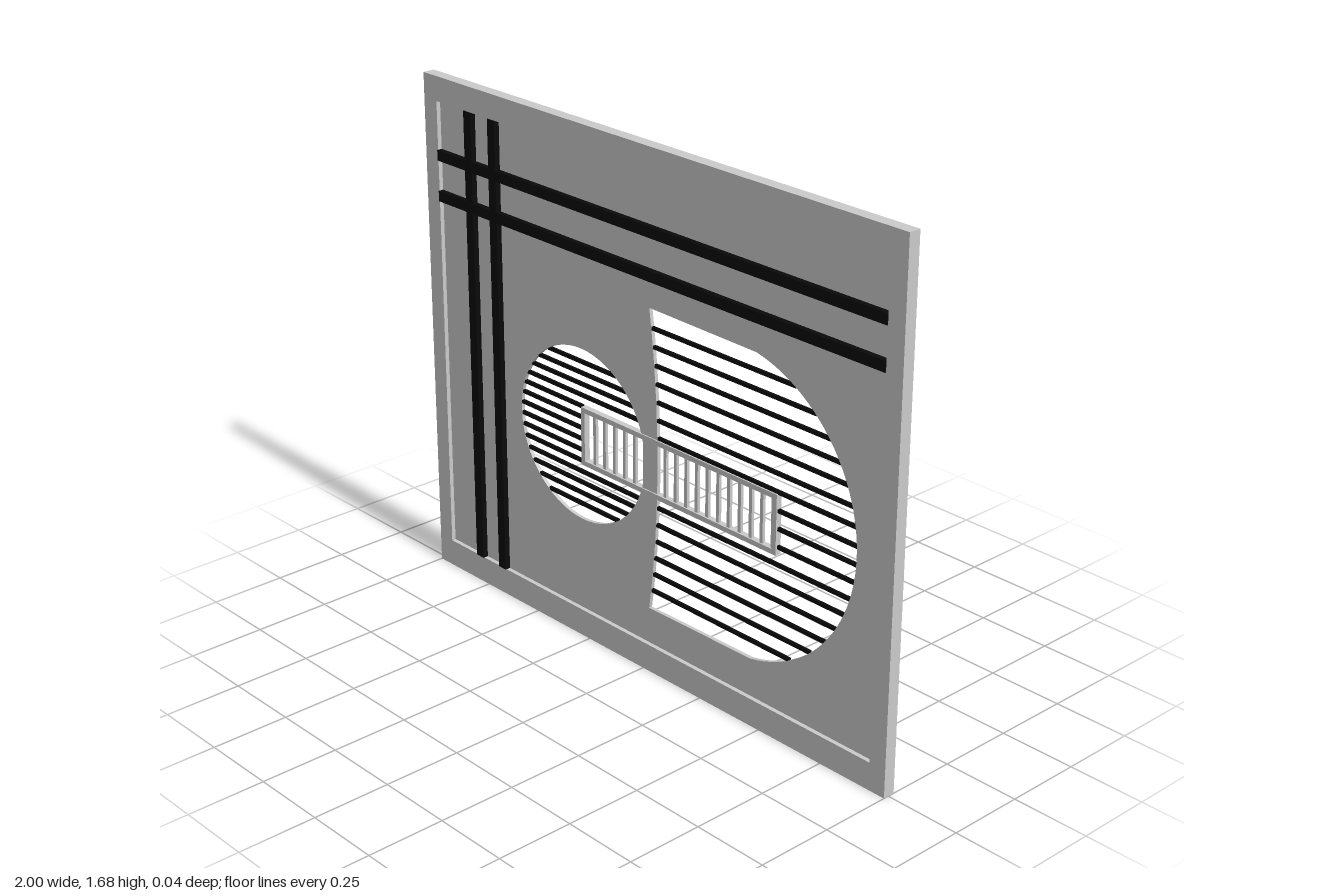
import * as THREE from 'three';

const grey = new THREE.MeshStandardMaterial({ color: 0xcccccc });
const black = new THREE.MeshStandardMaterial({ color: 0x0a0a0a });

// Overall sizes
const W = 2, H = 1.68, BACK = -0.022, FRONT = 0.018;
const IN = { x: 0.94, y0: 0.09, y1: 1.6 };
const PANEL = { z0: -0.008, z1: 0.004 };
// Round opening, D-shaped opening and the small grille across both
const disc = { x: -0.292, y: 0.685, r: 0.285 };
const dee = { x: 0.357, y: 0.698, r: 0.493, corner: 0.45, left: 0.012, half: 0.49, bulge: 0.036 };
const box = { x0: -0.29, x1: 0.545, y0: 0.588, y1: 0.78, t: 0.016 };

function addBox(parent, name, x0, x1, y0, y1, z0, z1, material) {
  const mesh = new THREE.Mesh(new THREE.BoxGeometry(x1 - x0, y1 - y0, z1 - z0), material);
  mesh.position.set((x0 + x1) / 2, (y0 + y1) / 2, (z0 + z1) / 2);
  mesh.name = name;
  parent.add(mesh);
}

function addPlate(parent, name, shape, z0, z1) {
  const geometry = new THREE.ExtrudeGeometry(shape, { depth: z1 - z0, bevelEnabled: false, curveSegments: 32 });
  const mesh = new THREE.Mesh(geometry, grey);
  mesh.position.z = z0;
  mesh.name = name;
  parent.add(mesh);
}

function rectangle(x0, x1, y0, y1, Type = THREE.Shape) {
  return new Type([[x0, y0], [x1, y0], [x1, y1], [x0, y1]].map(([x, y]) => new THREE.Vector2(x, y)));
}

// Left edge of the D opening, bowed towards its middle
const deeLeft = (y) => dee.left + dee.bulge * (1 - ((y - dee.y) / dee.half) ** 2);

function deePath() {
  const path = new THREE.Path();
  const a = Math.acos((dee.corner - dee.x) / dee.r);
  path.moveTo(dee.left, dee.y - dee.half);
  path.lineTo(dee.corner, dee.y - dee.r * Math.sin(a));
  path.absarc(dee.x, dee.y, dee.r, -a, a, false);
  path.lineTo(dee.left, dee.y + dee.half);
  path.quadraticCurveTo(dee.left + 2 * dee.bulge, dee.y, dee.left, dee.y - dee.half);
  return path;
}

export function createModel() {
  const model = new THREE.Group();
  model.name = 'gatePanel';

  // Outer frame
  const frame = rectangle(-W / 2, W / 2, 0, H);
  frame.holes.push(rectangle(-IN.x, IN.x, IN.y0, IN.y1, THREE.Path));
  addPlate(model, 'outerFrame', frame, BACK, FRONT);

  // Recessed sheet with the two openings
  const sheet = rectangle(-IN.x, IN.x, IN.y0, IN.y1);
  const round = new THREE.Path();
  round.absarc(disc.x, disc.y, disc.r, 0, Math.PI * 2, false);
  sheet.holes.push(round, deePath());
  addPlate(model, 'sheet', sheet, PANEL.z0, PANEL.z1);

  // Crossing decorative strips
  const strips = new THREE.Group();
  strips.name = 'decorativeStrips';
  for (const x of [-0.787, -0.673]) {
    addBox(strips, 'verticalStrip', x - 0.017, x + 0.017, IN.y0, IN.y1, PANEL.z1, 0.022, black);
  }
  for (const y of [1.427, 1.294]) {
    addBox(strips, 'horizontalStrip', -IN.x, IN.x, y - 0.017, y + 0.017, PANEL.z1, 0.0218, black);
  }
  model.add(strips);

  // Horizontal slats, stopping at the small grille
  const slats = new THREE.Group();
  slats.name = 'slats';
  const h = 0.0055, depth = 0.005;
  const behindBox = (y) => y > box.y0 && y < box.y1;
  for (let i = 0; i < 14; i++) {
    const y = 0.449 + i * 0.0366;
    const half = Math.sqrt(disc.r ** 2 - (y - disc.y) ** 2);
    const end = behindBox(y) ? box.x0 : disc.x + half;
    addBox(slats, 'roundSlat', disc.x - half, end, y - h, y + h, PANEL.z0 + 0.001, PANEL.z0 + 0.001 + 2 * depth, black);
  }
  for (let i = 1; i <= 16; i++) {
    const y = 0.214 + i * 0.057;
    const end = dee.x + Math.sqrt(dee.r ** 2 - (y - dee.y) ** 2);
    const start = behindBox(y) ? box.x1 : deeLeft(y);
    addBox(slats, 'deeSlat', start, end, y - h, y + h, PANEL.z0 + 0.001, PANEL.z0 + 0.001 + 2 * depth, black);
  }
  model.add(slats);

  // Small rectangular grille across both openings
  const grille = new THREE.Group();
  grille.name = 'centreGrille';
  const rim = rectangle(box.x0, box.x1, box.y0, box.y1);
  rim.holes.push(rectangle(box.x0 + box.t, box.x1 - box.t, box.y0 + box.t, box.y1 - box.t, THREE.Path));
  addPlate(grille, 'grilleRim', rim, -0.012, 0.008);
  for (let i = 0; i < 18; i++) {
    const x = -0.234 + i * 0.0447;
    if (x > -0.01 && x < 0.045) continue;
    addBox(grille, 'grilleBar', x - 0.006, x + 0.006, box.y0 + box.t, box.y1 - box.t, -0.007, 0.003, grey);
  }
  model.add(grille);

  return model;
}
